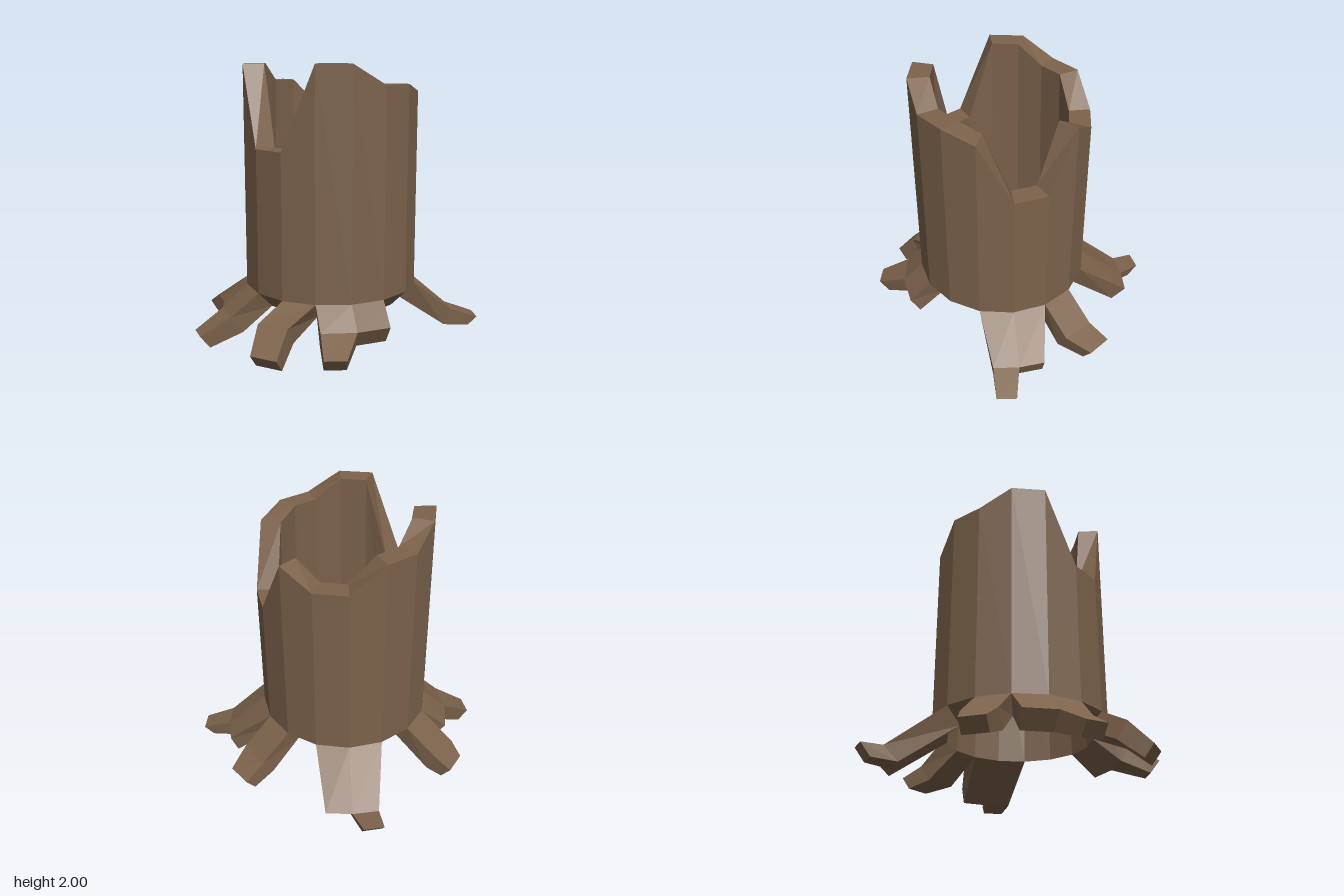
import * as THREE from 'three';

const SIDES = 16, STEP = (Math.PI * 2) / SIDES;
const CX = 0.03, CZ = 0.02, OUTER = 0.627, INNER = 0.475, LIP = 0.515;
const RIM_Y = 0.395, BASE_Y = 0.28;
// broken rim height at each corner, going from +x towards +z
const RIM = [1.86, 1.86, 2, 2, 1.42, 1.42, 1.99, 1.99, 1.86, 1.86, 1.67, 1.67, 1.8, 1.37, 1.37, 1.8];

// k: trunk facet the root grows from
// fork: side of a short stub on the next facet; unforked roots give the knee's direction as bend
// knee: radius, width, height, undercut; tip: direction in facets, radius, width, height
const ROOTS = [
  { name: 'frontRoot', k: 3, bend: 3.84, knee: [0.82, 0.23, 0.28, 0.08], tip: [3.78, 0.975, 0.2, 0.115] },
  { name: 'frontLeftRoot', k: 2, fork: -1, knee: [0.765, 0.245, 0.25, 0.07], tip: [2.51, 0.98, 0.15, 0.145] },
  { name: 'frontRightRoot', k: 5, fork: 1, knee: [0.8, 0.235, 0.23, 0.085], tip: [5.6, 1.02, 0.15, 0.105] },
  { name: 'rightRoot', k: 7, bend: 7.5, knee: [0.88, 0.245, 0.205, 0.085], tip: [7.53, 0.977, 0.18, 0.13] },
  { name: 'backRightRoot', k: 9, fork: 1, knee: [0.985, 0.19, 0.1, 0.1], tip: [9.68, 1.14, 0.144, 0.1] },
  { name: 'backRoot', k: 12, bend: 12.5, knee: [0.845, 0.243, 0.22, 0.085], tip: [12.36, 1.014, 0.19, 0.15] },
  { name: 'backLeftRoot', k: 14, fork: -1, knee: [0.915, 0.186, 0.14, 0.05], tip: [14.27, 1.13, 0.144, 0.065] },
];

const bark = new THREE.MeshStandardMaterial({ color: 0x7c624b, flatShading: true });

// Point at a direction u (counted in facets), a radius and height, moved sideways by t
function polar(u, r, y, t = 0) {
  const c = Math.cos(u * STEP), s = Math.sin(u * STEP);
  return [CX + r * c - t * s, y, CZ + r * s + t * c];
}

// Joins four-cornered sections into a solid; either a closed loop or with an end cap
function loft(sections, closed) {
  const pos = [];
  const quad = (a, b, c, d) => pos.push(...a, ...b, ...c, ...a, ...c, ...d);
  const n = sections.length;
  for (let s = 0; s < (closed ? n : n - 1); s++) {
    const p = sections[s], q = sections[(s + 1) % n];
    for (let i = 0; i < 4; i++) {
      const j = (i + 1) % 4;
      quad(p[i], p[j], q[j], q[i]);
    }
  }
  if (!closed) quad(...sections[n - 1]);
  const geo = new THREE.BufferGeometry();
  geo.setAttribute('position', new THREE.Float32BufferAttribute(pos, 3));
  geo.computeVertexNormals();
  return geo;
}

// Section across a root, its underside set inwards and never below the ground
function rootSection(u, r, w, y, undercut, depth) {
  const low = Math.max(0, y - depth);
  return [
    polar(u, r, y, -w / 2), polar(u, r, y, w / 2),
    polar(u, r - undercut, low, w / 2), polar(u, r - undercut, low, -w / 2),
  ];
}

// Sloping facet under the trunk between corners k and k + 1
function baseFacet(k) {
  return [
    polar(k, OUTER, RIM_Y), polar(k + 1, OUTER, RIM_Y),
    polar(k + 1, LIP, BASE_Y), polar(k, LIP, BASE_Y),
  ];
}

export function createModel() {
  const group = new THREE.Group();
  group.name = 'treeStump';
  const add = (name, geo) => {
    const mesh = new THREE.Mesh(geo, bark);
    mesh.name = name;
    group.add(mesh);
  };

  // hollow trunk with a jagged rim and a sloping underside
  add('trunk', loft(RIM.map((h, k) => [
    polar(k, OUTER, RIM_Y), polar(k, OUTER, h),
    polar(k, INNER, h), polar(k, LIP, BASE_Y),
  ]), true));

  // roots: facet, knee, tip; forked ones share a seam with their stub
  for (const { name, k, fork, bend, knee, tip } of ROOTS) {
    const seam = fork > 0 ? k + 1 : k;
    const half = Math.atan(knee[1] / 2 / knee[0]) / STEP;
    const kneeAt = (u) => rootSection(u, ...knee, 0.12);
    const kneeU = fork ? seam - fork * half : bend;
    add(name, loft([baseFacet(k), kneeAt(kneeU), rootSection(...tip, 0.07, 0.09)], false));
    if (fork) add(name + 'Stub', loft([baseFacet(k + fork), kneeAt(seam + fork * half)], false));
  }
  return group;
}
